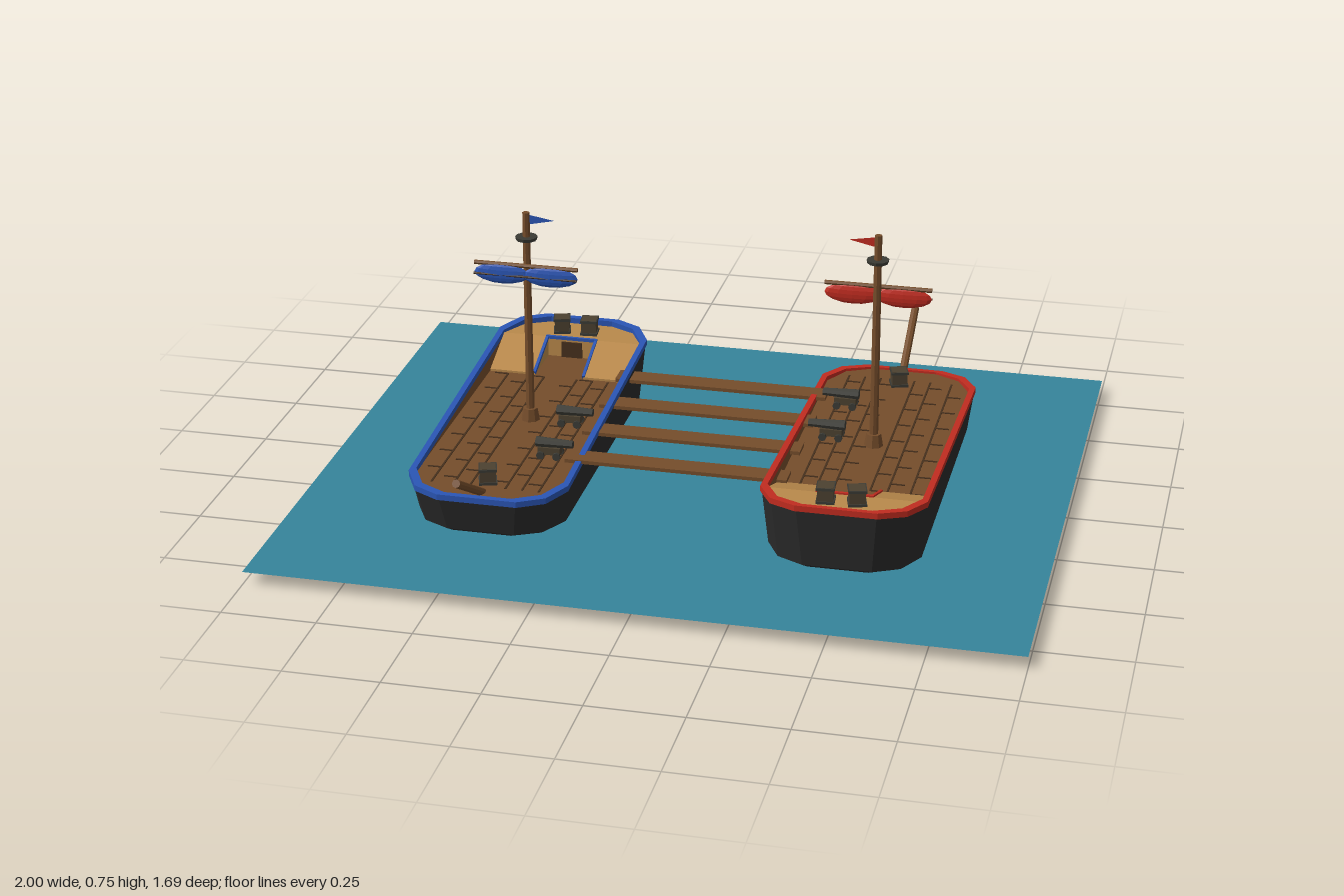
import * as THREE from 'three';

const mat = (name, color, extra = {}) => {
  const m = new THREE.MeshStandardMaterial({ color, flatShading: true, ...extra });
  m.name = name;
  return m;
};

export function createModel() {
  const M = {
    water: mat('sea teal', 0x35849b, { side: THREE.DoubleSide }),
    hull: mat('tarred black', 0x2b2b2b),
    wood: mat('brown wood', 0x754d2b),
    seam: mat('dark seam', 0x46301d),
    tan: mat('light timber', 0xb9894b),
    iron: mat('iron grey', 0x3b3b35),
    crate: mat('crate brown', 0x4c4130),
    red: mat('red paint', 0xc22c20, { side: THREE.DoubleSide }),
    blue: mat('blue paint', 0x2a55b4, { side: THREE.DoubleSide }),
  };

  const add = (parent, name, geo, material, x = 0, y = 0, z = 0) => {
    const mesh = new THREE.Mesh(geo, material);
    mesh.name = name;
    mesh.position.set(x, y, z);
    parent.add(mesh);
    return mesh;
  };
  const box = (w, h, d) => new THREE.BoxGeometry(w, h, d);

  // Plan outline with chamfered ends: half width w, half length l
  const outline = (w, l) => {
    if (w === 0) return Array(12).fill([0, 0]);
    const q = [[w, l - 0.11], [w - 0.04, l - 0.035], [w - 0.11, l]];
    const r = [...q].reverse();
    return [
      ...q, ...r.map(([x, z]) => [-x, z]),
      ...q.map(([x, z]) => [-x, -z]), ...r.map(([x, z]) => [x, -z]),
    ];
  };
  const sheer = (z) => 0.19 + 0.065 * z;
  const ring = (w, l, y) => outline(w, l).map(([x, z]) => [x, typeof y === 'function' ? y(z) : y, z]);

  // Skin between successive rings
  const loft = (rings) => {
    const pos = [];
    for (let k = 0; k < rings.length - 1; k++) {
      const lo = rings[k], hi = rings[k + 1];
      lo.forEach((a, i) => {
        const j = (i + 1) % lo.length;
        pos.push(...a, ...hi[i], ...hi[j], ...a, ...hi[j], ...lo[j]);
      });
    }
    const g = new THREE.BufferGeometry();
    g.setAttribute('position', new THREE.Float32BufferAttribute(pos, 3));
    g.computeVertexNormals();
    return g;
  };

  const DECK = 0.15, POOP = 0.208;

  function makeShip(name, paint) {
    const ship = new THREE.Group();
    ship.name = name;

    // Hull, deck and painted rail
    add(ship, 'hull', loft([
      ring(0, 0, 0), ring(0.15, 0.45, 0), ring(0.2, 0.51, 0.045),
      ring(0.213, 0.535, (z) => sheer(z) - 0.015),
    ]), M.hull);
    add(ship, 'rail', loft([
      ring(0.211, 0.533, (z) => sheer(z) - 0.016), ring(0.216, 0.54, (z) => sheer(z) - 0.016),
      ring(0.216, 0.54, sheer), ring(0.2, 0.524, sheer),
      ring(0.2, 0.524, (z) => sheer(z) - 0.016),
    ]), paint);
    add(ship, 'bulwarkAndDeck', loft([
      ring(0.201, 0.525, (z) => Math.max(sheer(z) - 0.014, DECK)), ring(0.201, 0.525, DECK), ring(0, 0, DECK),
    ]), M.wood);

    // Deck seams and plank ends
    [-0.145, -0.1, -0.055, 0.04, 0.085, 0.145].forEach((x, i) => {
      add(ship, 'deckSeam', box(0.005, 0.002, 0.72), M.seam, x, DECK + 0.001, -0.1);
      for (let k = 0; k < 7; k++) {
        add(ship, 'plankEnd', box(0.035, 0.002, 0.005), M.seam, x + 0.02, DECK + 0.001, -0.42 + k * 0.105 + (i % 2) * 0.05);
      }
    });

    // Raised stern platform
    const end = new THREE.Shape(
      [[0.2, 0.415], [0.16, 0.49], [0.09, 0.524], [-0.09, 0.524], [-0.16, 0.49], [-0.2, 0.415]]
        .map(([x, z]) => new THREE.Vector2(x, -z)));
    const poop = new THREE.ExtrudeGeometry(end, { depth: POOP - DECK, bevelEnabled: false }).rotateX(-Math.PI / 2);
    add(ship, 'sternPlatform', poop, M.tan, 0, DECK, 0);

    // Sloping ramps either side of the doorway, with painted edging
    const ramp = new THREE.Shape([[0.27, DECK], [0.415, DECK], [0.415, POOP], [0.27, DECK + 0.006]]
      .map(([z, y]) => new THREE.Vector2(-z, y)));
    const rise = POOP - DECK - 0.006, tilt = Math.atan2(rise, 0.145);
    for (const s of [-1, 1]) {
      const g = new THREE.ExtrudeGeometry(ramp, { depth: 0.13, bevelEnabled: false }).rotateY(Math.PI / 2);
      add(ship, 'sternRamp', g, M.tan, s > 0 ? 0.07 : -0.2, 0, 0);
      const edge = add(ship, 'rampEdging', box(0.008, 0.009, 0.154), paint, s * 0.071, (DECK + 0.006 + POOP) / 2, 0.3425);
      edge.rotation.x = -tilt;
    }
    add(ship, 'doorwayEdging', box(0.15, 0.009, 0.008), paint, 0, POOP, 0.413);
    add(ship, 'cabinDoor', box(0.06, 0.046, 0.006), M.seam, 0, DECK + 0.023, 0.413);

    // Mast, lookout and pennant
    const mast = new THREE.Group();
    mast.name = 'mast';
    mast.position.z = -0.02;
    ship.add(mast);
    add(mast, 'mastPole', new THREE.CylinderGeometry(0.01, 0.012, 0.6, 8), M.wood, 0, 0.45, 0);
    add(mast, 'mastCollar', new THREE.CylinderGeometry(0.02, 0.026, 0.035, 8), M.wood, 0, DECK + 0.017, 0);
    add(mast, 'lookout', new THREE.CylinderGeometry(0.03, 0.028, 0.009, 10), M.iron, 0, 0.678, 0);
    const flag = new THREE.Shape([[0, 0.745], [-0.078, 0.732], [0, 0.715]].map((p) => new THREE.Vector2(...p)));
    add(mast, 'pennant', new THREE.ShapeGeometry(flag), paint);

    // Furled sail in two lobes under its yard
    const spar = (r) => new THREE.CylinderGeometry(r, r, 0.285, 6).rotateZ(Math.PI / 2);
    add(mast, 'yard', spar(0.006), M.wood, 0, 0.602, -0.013);
    add(mast, 'sailTie', spar(0.003), M.seam, 0, 0.574, -0.022);
    for (const s of [-1, 1]) {
      const lobe = new THREE.SphereGeometry(1, 12, 8).scale(0.076, 0.029, 0.011);
      add(mast, 'furledSail', lobe, paint, s * 0.067, 0.576, -0.014);
    }

    // Bowsprit
    const sprit = add(ship, 'bowsprit', new THREE.CylinderGeometry(0.011, 0.011, 0.27, 8), M.wood, 0, 0.205, -0.585);
    sprit.rotation.x = -Math.PI / 3;

    // Crates on the stern and the bow
    [[-0.04, POOP, 0.463, 0.1], [0.04, POOP, 0.46, 0.25], [0, DECK, -0.43, 0.3]].forEach(([x, y, z, turn]) => {
      const crate = new THREE.Group();
      crate.name = 'crate';
      crate.position.set(x, y, z);
      crate.rotation.y = turn;
      ship.add(crate);
      add(crate, 'crateBody', box(0.042, 0.046, 0.042), M.crate, 0, 0.023, 0);
      for (const h of [0.005, 0.042]) add(crate, 'crateBand', box(0.048, 0.007, 0.048), M.iron, 0, h, 0);
    });

    // Two cannons on the side facing the other ship
    for (const z of [-0.245, -0.035]) {
      const gun = new THREE.Group();
      gun.name = 'cannon';
      gun.position.set(-0.125, DECK, z);
      ship.add(gun);
      add(gun, 'carriage', box(0.06, 0.02, 0.03), M.crate, 0.008, 0.022, 0);
      const barrel = new THREE.CylinderGeometry(0.011, 0.015, 0.1, 8).rotateZ(Math.PI / 2);
      add(gun, 'barrel', barrel, M.iron, -0.005, 0.042, 0);
      for (const wx of [-0.014, 0.03]) for (const s of [-1, 1]) {
        add(gun, 'wheel', new THREE.CylinderGeometry(0.011, 0.011, 0.007, 8).rotateX(Math.PI / 2), M.iron, wx, 0.011, s * 0.019);
      }
    }
    return ship;
  }

  const model = new THREE.Group();
  model.name = 'boardingShips';

  const redShip = makeShip('redShip', M.red);
  redShip.position.x = 0.47;
  const blueShip = makeShip('blueShip', M.blue);
  blueShip.position.x = -0.47;
  blueShip.rotation.y = Math.PI;
  model.add(redShip, blueShip);

  // Boarding planks and the sea
  for (let i = 0; i < 4; i++) {
    add(model, 'boardingPlank', box(0.595, 0.01, 0.062), M.wood, -0.002, 0.168, -0.275 + i * 0.18);
  }
  add(model, 'sea', new THREE.PlaneGeometry(2, 1.69).rotateX(-Math.PI / 2), M.water, 0, 0.035, 0);

  return model;
}
